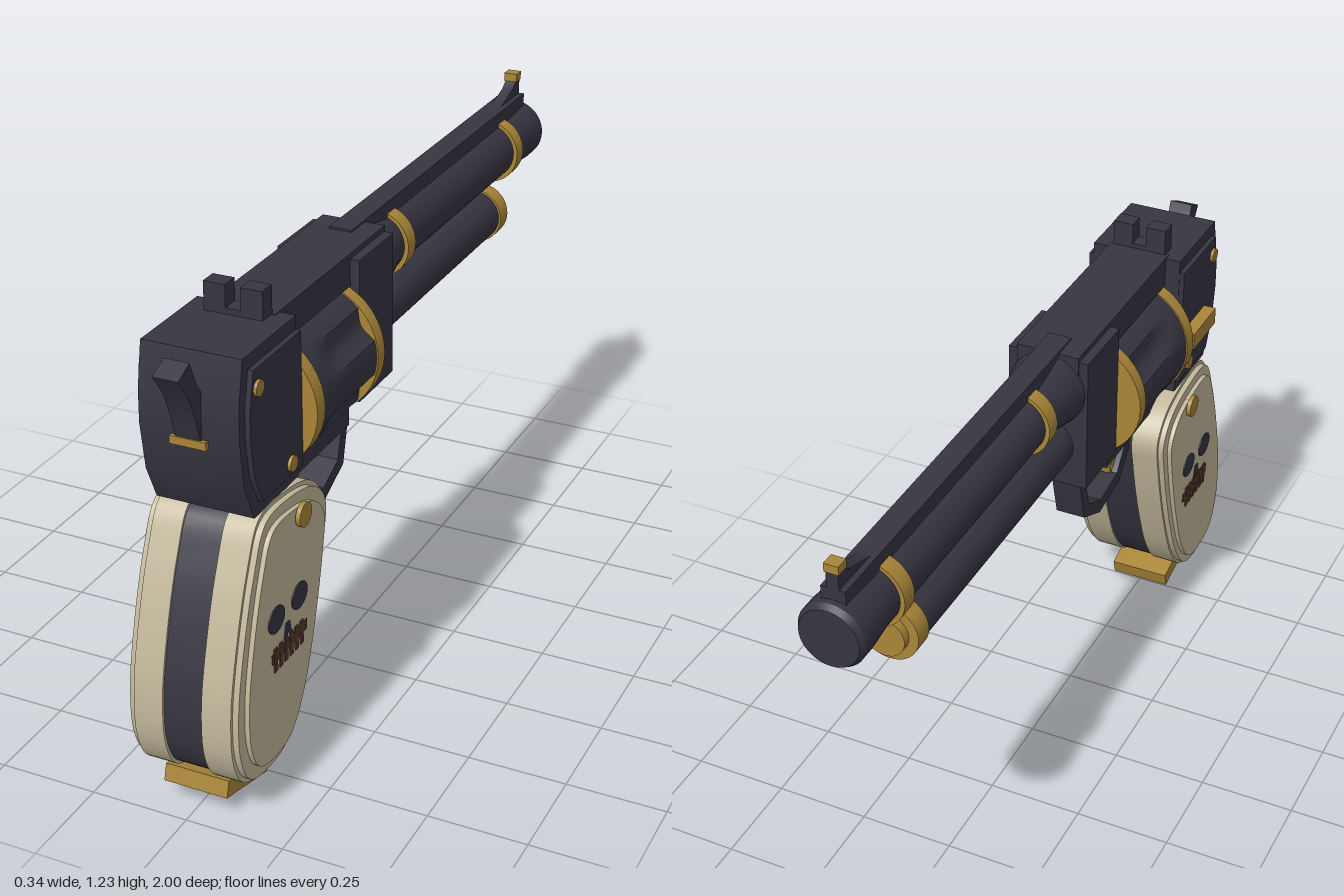
import * as THREE from 'three';
import { toCreasedNormals } from 'three/addons/utils/BufferGeometryUtils.js';

const mat = (name, color, side = THREE.FrontSide) => {
  const m = new THREE.MeshStandardMaterial({ color, side });
  m.name = name;
  return m;
};

export function createModel() {
  const root = new THREE.Group();
  root.name = 'revolver';
  const steel = mat('dark steel', 0x363541);
  const gold = mat('brass', 0xa98538);
  const ivory = mat('ivory', 0xc2b79a);
  const brown = mat('brown', 0x55382a);

  const add = (name, geo, material) => {
    const mesh = new THREE.Mesh(geo, material);
    mesh.name = name;
    root.add(mesh);
    return mesh;
  };
  // box given by its limits on each axis
  const box = (name, m, [x0, x1], [y0, y1], [z0, z1]) =>
    add(name, new THREE.BoxGeometry(x1 - x0, y1 - y0, z1 - z0)
      .translate((x0 + x1) / 2, (y0 + y1) / 2, (z0 + z1) / 2), m);
  // side outline of (z, y) points, extruded from x0 to x1
  const plate = (name, m, pts, x0, x1) => {
    const shape = new THREE.Shape(pts.map(([z, y]) => new THREE.Vector2(z, y)));
    const geo = new THREE.ExtrudeGeometry(shape, { depth: x1 - x0, bevelEnabled: false });
    geo.translate(0, 0, -x1).rotateY(-Math.PI / 2);
    return add(name, toCreasedNormals(geo, 0.5), m);
  };
  // the same plate on both sides
  const bothSides = (name, m, pts, x0, x1) => {
    plate(name + 'Left', m, pts, x0, x1);
    plate(name + 'Right', m, pts, -x1, -x0);
  };
  // turned part along z from (radius, z) points, with z rising
  const turned = (name, m, pts, y, seg = 40) => {
    const geo = new THREE.LatheGeometry(pts.map(([r, z]) => new THREE.Vector2(r, z)), seg);
    geo.rotateX(Math.PI / 2).translate(0, y, 0);
    return add(name, toCreasedNormals(geo, 0.5), m);
  };
  const ring = (name, m, r, z0, z1, y) =>
    turned(name, m, [[0, z0], [r, z0], [r, z1], [0, z1]], y);
  const ellipse = (z, y, rz, ry, n = 24) => Array.from({ length: n }, (_, i) => {
    const a = (i / n) * Math.PI * 2;
    return [z + rz * Math.cos(a), y + ry * Math.sin(a)];
  });
  const scaled = (pts, sz, sy, cz, cy) =>
    pts.map(([z, y]) => [cz + (z - cz) * sz, cy + (y - cy) * sy]);

  // barrel, bands and rib
  turned('barrel', steel, [[0, -1], [0.074, -1], [0.083, -0.985], [0.083, -0.94], [0.077, -0.87],
    [0.077, -0.03], [0.1, 0.08], [0.1, 0.12], [0, 0.12]], 1.055);
  ring('frontBand', gold, 0.088, -0.825, -0.78, 1.053);
  ring('rearBand', gold, 0.088, -0.09, -0.045, 1.053);
  box('rib', steel, [-0.03, 0.03], [1.1, 1.167], [-0.97, 0.16]);

  // tube under the barrel
  ring('underTube', steel, 0.07, -0.71, 0.1, 0.892);
  ring('tubeCap', gold, 0.076, -0.75, -0.7, 0.892);
  ring('tubeKnob', gold, 0.052, -0.772, -0.75, 0.892);

  // sights
  plate('frontSight', steel, [[-0.83, 1.165], [-0.97, 1.165], [-0.97, 1.21], [-0.945, 1.21], [-0.92, 1.192]], -0.015, 0.015);
  box('frontSightBead', gold, [-0.018, 0.018], [1.208, 1.23], [-0.972, -0.938]);
  box('rearSightBase', steel, [-0.073, 0.073], [1.155, 1.175], [0.655, 0.7]);
  for (const s of [-1, 1]) {
    const x = [s * 0.019, s * 0.073].sort((a, b) => a - b);
    box('rearSightPost', steel, x, [1.17, 1.23], [0.655, 0.7]);
  }

  // frame
  box('frontFrame', steel, [-0.107, 0.107], [0.78, 1.148], [0.09, 0.28]);
  box('topStrap', steel, [-0.083, 0.083], [1.08, 1.162], [0.085, 0.66]);
  box('bottomStrap', steel, [-0.08, 0.08], [0.715, 0.765], [0.285, 0.66]);
  const rear = [[0.64, 0.76], [0.855, 0.76], [0.895, 0.85], [0.912, 0.97], [0.91, 1.05], [0.89, 1.16], [0.64, 1.16]];
  plate('rearFrame', steel, rear, -0.123, 0.123);
  bothSides('sidePlate', steel, scaled(rear, 0.9, 0.83, 0.66, 0.965), 0.12, 0.136);
  for (const [z, y] of [[0.85, 1.08], [0.7, 0.825]])
    bothSides('frameScrew', gold, ellipse(z, y, 0.019, 0.019, 16), 0.12, 0.144);
  box('latch', gold, [-0.17, -0.125], [0.9, 0.947], [0.65, 0.805]);

  // fluted drum
  const drum = new THREE.CylinderGeometry(0.168, 0.168, 0.34, 96, 20);
  drum.rotateX(Math.PI / 2).translate(0, 0, 0.46);
  const p = drum.attributes.position;
  for (let i = 0; i < p.count; i++) {
    const a = Math.atan2(p.getY(i), p.getX(i));
    const flute = Math.max(0, Math.cos(6 * a + Math.PI)) * THREE.MathUtils.smoothstep(0.58 - p.getZ(i), 0, 0.12);
    const k = 1 - 0.12 * flute;
    p.setXY(i, p.getX(i) * k, p.getY(i) * k);
  }
  drum.translate(0, 0.925, 0);
  add('drum', toCreasedNormals(drum, 0.6), steel);
  ring('drumFrontBand', gold, 0.172, 0.278, 0.315, 0.925);
  ring('drumRearBand', gold, 0.172, 0.598, 0.638, 0.925);

  // hammer
  plate('hammer', steel, [[0.89, 0.955], [0.915, 0.955], [0.935, 1.02], [0.96, 1.08], [1, 1.137], [0.95, 1.16],
    [0.925, 1.1], [0.89, 1.05]], -0.031, 0.031);
  box('hammerPlate', gold, [-0.045, 0.045], [0.94, 0.96], [0.9, 0.92]);

  // trigger guard and trigger
  const outer = [[0.25, 0.785], [0.2, 0.715], [0.235, 0.575], [0.34, 0.525], [0.47, 0.548], [0.535, 0.625], [0.56, 0.73]];
  const inner = [[0.52, 0.73], [0.5, 0.645], [0.452, 0.583], [0.345, 0.562], [0.265, 0.6], [0.235, 0.712], [0.275, 0.785]];
  plate('triggerGuard', steel, [...outer, ...inner], -0.04, 0.04);
  plate('trigger', gold, [[0.515, 0.73], [0.46, 0.73], [0.47, 0.66], [0.435, 0.61], [0.44, 0.585], [0.485, 0.61],
    [0.51, 0.66]], -0.025, 0.025);

  // grip, stepped outwards in layers
  const gripKeys = [[0.84, 0.75], [0.71, 0.757], [0.58, 0.72], [0.528, 0.655], [0.54, 0.56], [0.6, 0.35], [0.67, 0.19],
    [0.75, 0.1], [0.85, 0.084], [0.945, 0.11], [0.99, 0.19], [0.995, 0.32], [0.96, 0.48], [0.9, 0.65]];
  const curve = new THREE.CatmullRomCurve3(gripKeys.map(([z, y]) => new THREE.Vector3(z, y, 0)), true);
  const grip = curve.getPoints(70).slice(0, -1).map(v => [v.x, v.y]);
  plate('gripCore', steel, scaled(grip, 0.97, 0.98, 0.765, 0.42), -0.051, 0.051);
  bothSides('gripPanel', ivory, grip, 0.05, 0.125);
  bothSides('gripStep', ivory, scaled(grip, 0.96, 0.97, 0.765, 0.42), 0.124, 0.14);
  bothSides('gripFace', ivory, scaled(grip, 0.83, 0.89, 0.765, 0.42), 0.139, 0.152);
  bothSides('gripScrewStem', gold, ellipse(0.69, 0.695, 0.02, 0.02), 0.14, 0.158);
  bothSides('gripScrew', gold, ellipse(0.69, 0.695, 0.03, 0.03), 0.154, 0.166);

  // inlaid face on each side of the grip
  for (const z of [0.82, 0.705])
    bothSides('inlayEye', steel, ellipse(z, 0.487, 0.039, 0.033), 0.15, 0.155);
  bothSides('inlayNose', steel, [[0.785, 0.41], [0.768, 0.422], [0.748, 0.41], [0.757, 0.45], [0.775, 0.45]], 0.15, 0.155);
  bothSides('inlayMouth', brown, [[0.67, 0.378], [0.845, 0.378], [0.845, 0.404], [0.67, 0.404]], 0.15, 0.154);
  for (let i = 0; i < 6; i++) {
    const z = 0.69 + i * 0.026;
    bothSides('inlayTooth', brown, [[z, 0.352], [z + 0.015, 0.352], [z + 0.015, 0.415], [z, 0.415]], 0.15, 0.155);
  }

  // butt plate
  const butt = add('buttPlate', new THREE.BoxGeometry(0.166, 0.043, 0.205), gold);
  butt.position.set(0, 0.05, 0.847);
  butt.rotation.x = -0.27;

  return root;
}
